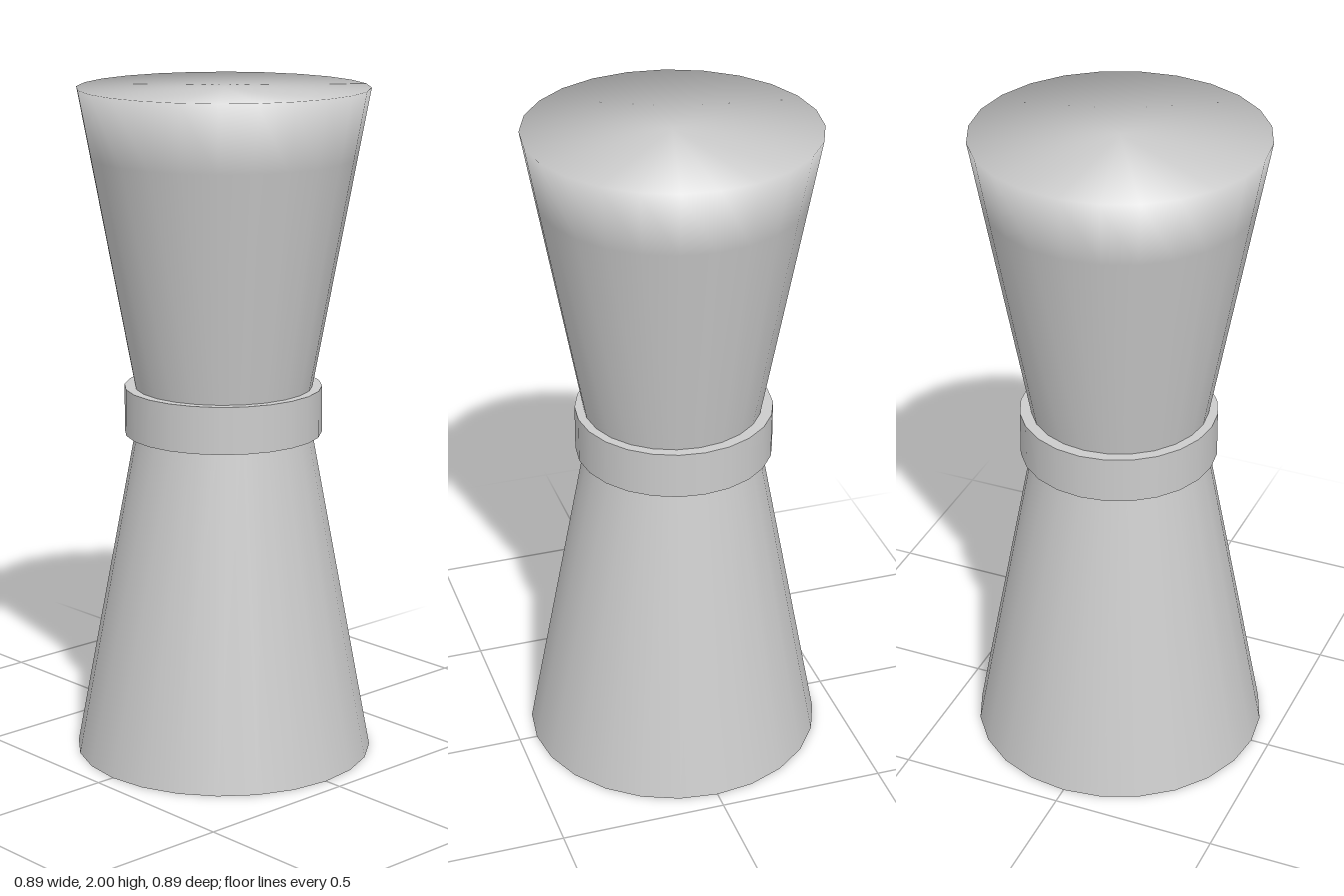
import * as THREE from 'three';

const SIDES = 24;
const NECK_Y = 1.05, NECK_R = 0.25;
const TOP_Y = 2, TOP_R = 0.426;
const BASE_R = 0.445;

// Upper flared cup: flat lid whose rim is softly shaded into the wall.
function upperCupGeometry() {
  const softY = 1.8;
  const softR = THREE.MathUtils.mapLinear(softY, NECK_Y, TOP_Y, NECK_R, TOP_R);
  const profile = [[NECK_R, NECK_Y], [softR, softY], [TOP_R, TOP_Y], [0, TOP_Y]]
    .map(([r, y]) => new THREE.Vector2(r, y));
  const geometry = new THREE.LatheGeometry(profile, SIDES);

  // Rim normals lie halfway between the lid and the wall.
  const { position, normal } = geometry.attributes;
  const wall = new THREE.Vector2(TOP_Y - NECK_Y, NECK_R - TOP_R).normalize();
  const rim = wall.add(new THREE.Vector2(0, 1)).normalize();
  for (let i = 0; i < position.count; i++) {
    const x = position.getX(i), z = position.getZ(i);
    const r = Math.hypot(x, z);
    if (position.getY(i) > TOP_Y - 0.001 && r > 0.1) {
      normal.setXYZ(i, (x / r) * rim.x, rim.y, (z / r) * rim.x);
    }
  }
  return geometry;
}

export function createModel() {
  const group = new THREE.Group();
  group.name = 'jigger';
  const material = new THREE.MeshStandardMaterial({ color: 0xcccccc });

  const add = (name, geometry, x = 0, y = 0, z = 0) => {
    const mesh = new THREE.Mesh(geometry, material);
    mesh.name = name;
    mesh.position.set(x, y, z);
    group.add(mesh);
  };

  add('upperCup', upperCupGeometry());

  // Lower cup with a flat base
  add('lowerCup', new THREE.CylinderGeometry(NECK_R, BASE_R, NECK_Y, SIDES), 0, NECK_Y / 2);

  // Collar around the neck
  add('collar', new THREE.CylinderGeometry(0.293, 0.293, 0.14, SIDES), -0.004, NECK_Y, -0.002);

  return group;
}
